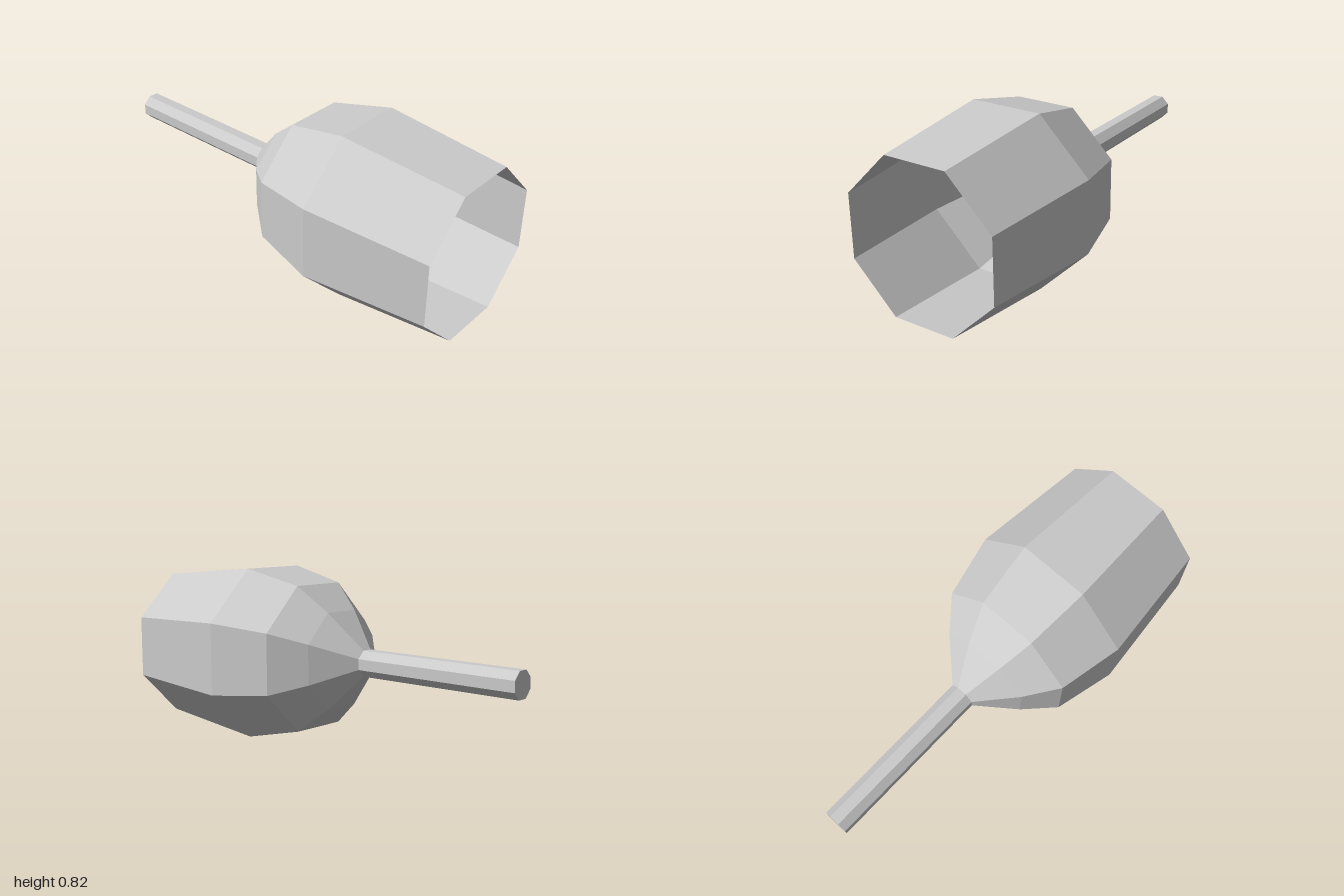
import * as THREE from 'three';

const SIDES = 8;
const CENTRE_Y = 0.41;
// Converts the distance to a flat side into the distance to a corner
const toCorner = (flat) => flat / Math.cos(Math.PI / SIDES);

export function createModel() {
  const group = new THREE.Group();
  const material = new THREE.MeshStandardMaterial({
    color: 0xcccccc, flatShading: true, side: THREE.DoubleSide,
  });

  // Open thin-walled cup: [distance to flat side, z] from neck to rim
  const profile = [[0.06, -0.19], [0.225, -0.035], [0.343, 0.11], [0.41, 0.41], [0.358, 1]]
    .map(([flat, z]) => new THREE.Vector2(toCorner(flat), z));
  const cupGeometry = new THREE.LatheGeometry(profile, SIDES, Math.PI / SIDES);
  cupGeometry.rotateX(Math.PI / 2);
  const cup = new THREE.Mesh(cupGeometry, material);
  cup.name = 'cup';

  // Straight octagonal stem running backwards from the neck
  const radius = toCorner(0.06);
  const stemGeometry = new THREE.CylinderGeometry(radius, radius, 0.81, SIDES, 1, false, Math.PI / SIDES);
  stemGeometry.rotateX(Math.PI / 2);
  const stem = new THREE.Mesh(stemGeometry, material);
  stem.name = 'stem';
  stem.position.z = -0.595;

  group.add(cup, stem);
  for (const part of group.children) part.position.y = CENTRE_Y;
  return group;
}
